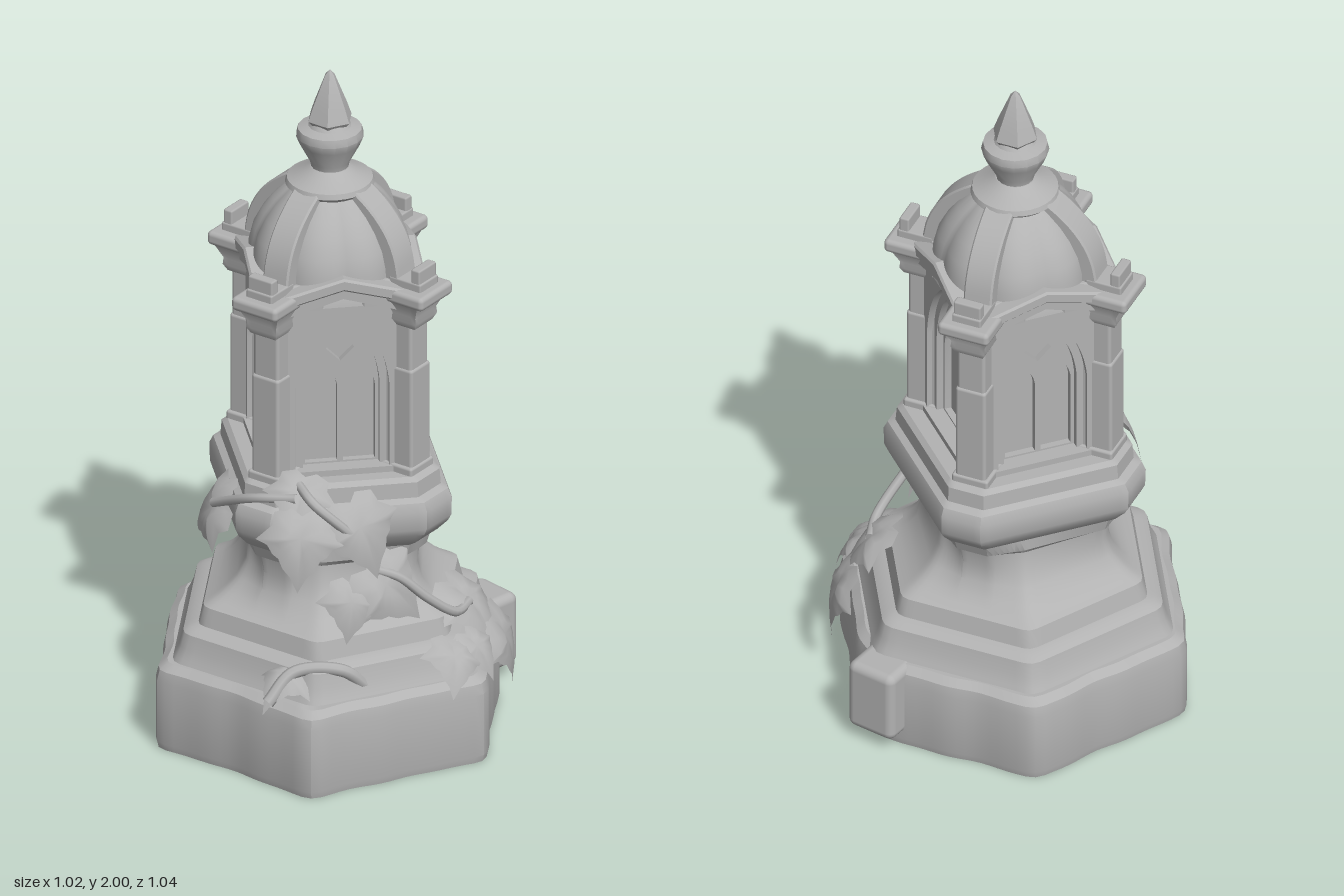
import * as THREE from 'three';
import { toCreasedNormals } from 'three/addons/utils/BufferGeometryUtils.js';
import { RoundedBoxGeometry } from 'three/addons/geometries/RoundedBoxGeometry.js';

const stone = new THREE.MeshStandardMaterial({ color: 0xb2b2b2, side: THREE.DoubleSide });
stone.name = 'grey stone';
const V = (x, y, z) => new THREE.Vector3(x, y, z);

function add(parent, name, geometry, x = 0, y = 0, z = 0) {
  const mesh = new THREE.Mesh(geometry, stone);
  mesh.name = name;
  mesh.position.set(x, y, z);
  parent.add(mesh);
  return mesh;
}

// Plan outlines as polar radii; r is the reach along z
const hexagon = (t, r) => {
  const s = Math.PI / 3, u = ((t % s) + s) % s;
  return Math.min(r * 0.985, r * 0.866 / Math.cos(u - s / 2));
};
const diamond = (t, r) => {
  const q = Math.PI / 2, u = ((t % q) + q) % q;
  return Math.min(r / Math.max(Math.abs(Math.cos(t)), Math.abs(Math.sin(t))), 0.82 * r / Math.cos(u - q / 2));
};
// Smooth bump around an angle given in degrees
const bump = (t, deg, width) => {
  const d = Math.atan2(Math.sin(t - deg * Math.PI / 180), Math.cos(t - deg * Math.PI / 180));
  return Math.exp(-d * d / (width * width));
};

// Closed loft through levels [y, size, ...extra]
function loft(levels, radius, n = 120) {
  const pos = [], idx = [];
  const put = (y, r, t) => pos.push(Math.sin(t) * r, y, Math.cos(t) * r);
  for (const l of levels)
    for (let j = 0; j < n; j++) {
      const t = j / n * Math.PI * 2;
      put(l[0], radius(t, l), t);
    }
  for (let i = 0; i < levels.length - 1; i++)
    for (let j = 0; j < n; j++) {
      const a = i * n + j, b = i * n + (j + 1) % n;
      idx.push(a, b, a + n, b, b + n, a + n);
    }
  const low = pos.length / 3, top = (levels.length - 1) * n;
  put(levels[0][0], 0, 0);
  put(levels[levels.length - 1][0], 0, 0);
  for (let j = 0; j < n; j++) {
    const k = (j + 1) % n;
    idx.push(low, k, j, low + 1, top + j, top + k);
  }
  const g = new THREE.BufferGeometry();
  g.setAttribute('position', new THREE.Float32BufferAttribute(pos, 3));
  g.setIndex(idx);
  return toCreasedNormals(g, 0.6);
}

// Pointed arch outline
function arch(w, y0, spring, top, cx = 0, path = new THREE.Path()) {
  const c = spring + (top - spring) * 0.6;
  path.moveTo(cx - w, y0).lineTo(cx + w, y0).lineTo(cx + w, spring);
  path.quadraticCurveTo(cx + w * 0.9, c, cx, top);
  path.quadraticCurveTo(cx - w * 0.9, c, cx - w, spring);
  return path;
}
const polygon = pts => new THREE.Shape(pts.map(p => new THREE.Vector2(...p)));
const extrude = (shape, depth, bevel = 0) => toCreasedNormals(new THREE.ExtrudeGeometry(shape, {
  depth, curveSegments: 10, bevelEnabled: bevel > 0, bevelSize: bevel, bevelThickness: bevel, bevelSegments: 1 }), 0.5);
const chevron = (w, y, rise, h) => polygon([[-w, y], [0, y + rise], [w, y], [w, y + h], [0, y + rise + h], [-w, y + h]]);

// Window wall of one side, facing +z
function makeWall() {
  const g = new THREE.Group();
  g.name = 'windowWall';
  const outline = () => polygon([[-0.19, 0.82], [0.19, 0.82], [0.19, 1.38], [0, 1.43], [-0.19, 1.38]]);
  const wall = outline();
  wall.holes.push(arch(0.132, 0.86, 1.12, 1.37));
  add(g, 'archWall', extrude(wall, 0.03), 0, 0, 0.182);
  const frame = outline();
  frame.holes.push(arch(0.108, 0.86, 1.12, 1.335));
  add(g, 'innerArch', extrude(frame, 0.03), 0, 0, 0.162);
  const tracery = arch(0.125, 0.84, 1.12, 1.35, 0, new THREE.Shape());
  for (const s of [-1, 1]) tracery.holes.push(arch(0.045, 0.87, 1.1, 1.175, s * 0.053));
  tracery.holes.push(polygon([[0, 1.18], [0.04, 1.22], [0, 1.28], [-0.04, 1.22]]));
  add(g, 'tracery', extrude(tracery, 0.02), 0, 0, 0.152);
  add(g, 'windowSill', new THREE.BoxGeometry(0.3, 0.03, 0.06), 0, 0.85, 0.19);
  add(g, 'gableRoof', extrude(chevron(0.2, 1.34, 0.06, 0.045), 0.17), 0, 0, 0.06);
  add(g, 'gableCornice', extrude(chevron(0.22, 1.375, 0.06, 0.025), 0.178, 0.006), 0, 0, 0.06);
  return g;
}

// Corner pillar with capital and dome rib, facing +z
function makePillar() {
  const g = new THREE.Group();
  g.name = 'cornerPillar';
  add(g, 'pillarFoot', new RoundedBoxGeometry(0.11, 0.04, 0.11, 2, 0.008), 0, 0.85, 0.262);
  add(g, 'lowerShaft', new RoundedBoxGeometry(0.092, 0.34, 0.1, 2, 0.01), 0, 1.0, 0.262);
  add(g, 'upperShaft', new RoundedBoxGeometry(0.084, 0.24, 0.09, 2, 0.01), 0, 1.27, 0.262);
  const square = (t, l) => l[1] / Math.max(Math.abs(Math.cos(t)), Math.abs(Math.sin(t)));
  add(g, 'capital', loft([[1.3, 0.042], [1.32, 0.052], [1.34, 0.05], [1.385, 0.07]], square, 32), 0, 0, 0.277);
  add(g, 'capitalPlate', new RoundedBoxGeometry(0.155, 0.042, 0.152, 2, 0.014), 0, 1.4, 0.292);
  add(g, 'merlonBase', new RoundedBoxGeometry(0.088, 0.03, 0.11, 1, 0.006), 0, 1.43, 0.285);
  add(g, 'merlon', new RoundedBoxGeometry(0.083, 0.06, 0.03, 1, 0.006), 0, 1.455, 0.32);
  const rib = new THREE.Shape();
  rib.moveTo(0.05, 1.4).lineTo(0.266, 1.4).lineTo(0.256, 1.46);
  rib.quadraticCurveTo(0.24, 1.582, 0.113, 1.66);
  rib.lineTo(0.05, 1.66);
  const ribGeometry = extrude(rib, 0.075, 0.005);
  ribGeometry.translate(0, 0, -0.0375).rotateY(-Math.PI / 2);
  add(g, 'domeRib', ribGeometry);
  return g;
}

// Lobed ivy leaf with sunken veins and drooping edges
function leafGeometry(droop) {
  const half = [[0, -0.45], [0.24, -0.62], [0.56, -0.5], [0.58, -0.24], [0.9, 0.06], [0.66, 0.16], [0.54, 0.34], [0.42, 0.42], [0.32, 0.62], [0.16, 0.78]];
  const rim = [...half, [0, 1.08], ...half.slice(1).reverse().map(([x, y]) => [-x, y])];
  const n = rim.length, pos = [0, 0, 0], idx = [];
  for (const f of [0.35, 0.7, 1])
    for (const [x, y] of rim) {
      const d = Math.hypot(x, y) * f;
      pos.push(x * f, y * f, 0.12 * Math.sin(f * 3) * Math.abs(x) - droop * d * d);
    }
  for (let j = 0; j < n; j++) {
    const k = (j + 1) % n;
    idx.push(0, 1 + j, 1 + k);
    for (const o of [1, 1 + n]) idx.push(o + j, o + n + j, o + k, o + k, o + n + j, o + n + k);
  }
  const g = new THREE.BufferGeometry();
  g.setAttribute('position', new THREE.Float32BufferAttribute(pos, 3));
  g.setIndex(idx);
  g.computeVertexNormals();
  return g;
}

function addLeaf(parent, [p, normal, tip, size, droop = 0.3]) {
  const z = V(...normal).normalize(), y = V(...tip);
  y.addScaledVector(z, -y.dot(z)).normalize();
  const mesh = add(parent, 'ivyLeaf', leafGeometry(droop), ...p);
  mesh.quaternion.setFromRotationMatrix(new THREE.Matrix4().makeBasis(y.clone().cross(z), y, z));
  mesh.scale.setScalar(size);
}

export function createModel() {
  const model = new THREE.Group();
  model.name = 'gothicTower';

  // Rough hexagonal foot, bulging at the front left and cut back beside the loose stone
  add(model, 'footBlock', loft([[0, 0.525], [0.02, 0.53], [0.21, 0.53], [0.24, 0.522], [0.258, 0.495]],
    (t, l) => hexagon(t, l[1]) * (1 + 0.007 * Math.sin(9 * t + 1) + 0.005 * Math.sin(17 * t)
      + 0.04 * bump(t, -62, 0.2) - 0.04 * bump(t, 57, 0.15))), 0, 0, -0.008);
  // Stepped plinth, changing from hexagon to chamfered diamond: [y, size, blend]
  add(model, 'plinth', loft([[0.24, 0.495, 0], [0.27, 0.477, 0], [0.3, 0.463, 0], [0.34, 0.452, 0], [0.352, 0.43, 0], [0.357, 0.405, 0],
    [0.41, 0.39, 0], [0.425, 0.36, 0], [0.445, 0.333, 0.1], [0.48, 0.298, 0.25], [0.53, 0.278, 0.5], [0.58, 0.279, 0.7],
    [0.595, 0.298, 0.85], [0.63, 0.305, 1], [0.645, 0.327, 1], [0.68, 0.36, 1], [0.7, 0.37, 1], [0.755, 0.372, 1],
    [0.78, 0.36, 1], [0.79, 0.338, 1], [0.835, 0.334, 1], [0.847, 0.317, 1]],
    (t, l) => hexagon(t, l[1]) * (1 - l[2]) + diamond(t, l[1]) * l[2]), 0, 0, -0.006);
  const block = add(model, 'looseStone', new RoundedBoxGeometry(0.15, 0.22, 0.155, 3, 0.025), 0.43, 0.15, 0.2);
  block.rotation.y = -0.2;

  // Chamber with four walls and four corner pillars
  const tower = new THREE.Group();
  tower.name = 'tower';
  tower.position.set(-0.002, 0, -0.007);
  model.add(tower);
  const core = add(tower, 'core', new THREE.BoxGeometry(0.305, 0.6, 0.305), 0, 1.1, 0);
  core.rotation.y = Math.PI / 4;
  for (let i = 0; i < 4; i++) {
    const wall = makeWall(), pillar = makePillar();
    wall.rotation.y = Math.PI / 4 + i * Math.PI / 2;
    pillar.rotation.y = i * Math.PI / 2;
    tower.add(wall, pillar);
  }
  add(tower, 'roof', loft([[1.37, 0.27], [1.41, 0.26], [1.435, 0.24]], (t, l) => diamond(t, l[1])));

  // Lobed dome
  add(tower, 'dome', loft([[1.4, 0.225], [1.46, 0.222], [1.51, 0.21], [1.56, 0.185], [1.6, 0.156], [1.64, 0.117], [1.66, 0.09]],
    (t, l) => l[1] * (0.97 + 0.06 * Math.abs(Math.sin(4 * t))), 96));

  // Collar, knob and spike
  const lathe = (pts, n) => toCreasedNormals(new THREE.LatheGeometry(pts.map(p => new THREE.Vector2(...p)), n), 0.6);
  add(tower, 'collar', lathe([[0, 1.64], [0.11, 1.64], [0.125, 1.655], [0.12, 1.67], [0.075, 1.69], [0.055, 1.705], [0, 1.705]], 32));
  add(tower, 'knob', lathe([[0.052, 1.7], [0.056, 1.72], [0.085, 1.775], [0.095, 1.8], [0.09, 1.822], [0.06, 1.83], [0.05, 1.845], [0, 1.845]], 16));
  add(tower, 'spike', lathe([[0, 1.835], [0.055, 1.836], [0.066, 1.85], [0.052, 1.89], [0.014, 1.985], [0, 2]], 6));

  // Ivy: [position, normal, tip direction, size, droop]
  const ivy = new THREE.Group();
  ivy.name = 'ivy';
  model.add(ivy);
  [
    [[-0.39, 0.75, 0.17], [-0.75, 0.45, 0.5], [-0.25, -1, 0.1], 0.14],
    [[-0.25, 0.76, 0.275], [-0.45, 0.4, 0.8], [0.25, -1, 0.1], 0.15],
    [[-0.17, 0.56, 0.305], [-0.35, 0.4, 0.85], [0.6, -0.8, 0.2], 0.155],
    [[-0.27, 0.53, 0.26], [-0.55, 0.4, 0.7], [-0.3, -1, 0.1], 0.11],
    [[-0.32, 0.85, 0.12], [-0.5, 0.8, 0.4], [-0.8, -0.4, 0.3], 0.12],
    [[-0.32, 0.72, -0.18], [-0.7, 0.5, -0.5], [0.25, -0.6, -0.9], 0.14],
    [[-0.42, 0.33, 0.14], [-0.3, 0.95, 0.1], [-1, -0.1, -0.1], 0.1, 0.6],
    [[0.12, 0.42, 0.375], [0.15, 0.75, 0.65], [0.2, -0.5, 0.8], 0.15],
    [[0.21, 0.29, 0.44], [0.4, 0.4, 0.85], [0.25, -1, 0.2], 0.15],
    [[-0.05, 0.33, 0.455], [-0.2, 0.75, 0.7], [-0.5, -0.5, 0.5], 0.11],
    [[0.04, 0.33, 0.465], [0, 0.7, 0.75], [0.1, -0.6, 0.5], 0.1],
  ].forEach(l => addLeaf(ivy, l));
  // Stems: [radius, points]
  [
    [0.014, [[-0.3, 0.86, 0.1], [-0.34, 0.84, 0.18], [-0.26, 0.72, 0.27], [-0.18, 0.6, 0.27]]],
    [0.014, [[-0.18, 0.6, 0.27], [-0.13, 0.57, 0.32], [-0.06, 0.49, 0.37], [0.03, 0.42, 0.4], [0.12, 0.41, 0.38]]],
    [0.018, [[-0.25, 0.27, 0.3], [-0.32, 0.34, 0.26], [-0.41, 0.34, 0.16], [-0.49, 0.27, 0.13]]],
    [0.014, [[-0.34, 0.84, 0.12], [-0.37, 0.82, 0], [-0.33, 0.74, -0.17]]],
  ].forEach(([r, pts]) => add(ivy, 'ivyStem', new THREE.TubeGeometry(
    new THREE.CatmullRomCurve3(pts.map(p => V(...p))), 24, r, 8)));

  return model;
}
